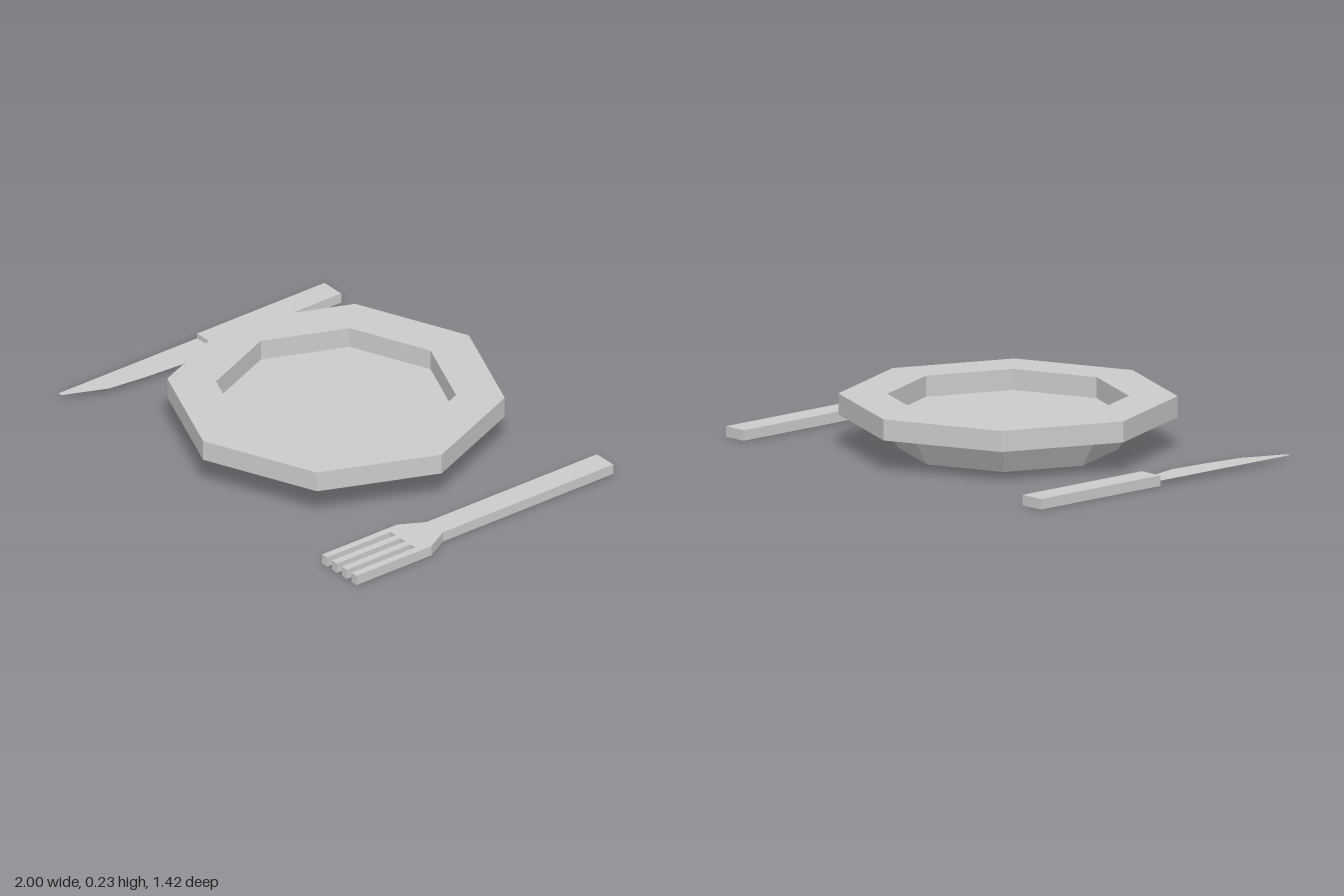
import * as THREE from 'three';

const material = new THREE.MeshStandardMaterial({
  color: 0xcccccc, flatShading: true, side: THREE.DoubleSide,
});

function addMesh(parent, name, geometry) {
  const mesh = new THREE.Mesh(geometry, material);
  mesh.name = name;
  parent.add(mesh);
  return mesh;
}

// Shape from [x, z] points, to be laid flat on the table
const outline = (points) =>
  new THREE.Shape(points.map(([x, z]) => new THREE.Vector2(x, -z)));

const slab = (points, depth) =>
  new THREE.ExtrudeGeometry(outline(points), { depth, bevelEnabled: false })
    .rotateX(-Math.PI / 2);

export function createModel() {
  const model = new THREE.Group();
  model.name = 'tableSetting';
  const thickness = 0.045;

  // Octagonal plate: sloped base, wide rim, sunken floor
  const profile = [
    [0, 0], [0.46, 0], [0.55, 0.14], [0.71, 0.14],
    [0.71, 0.23], [0.505, 0.23], [0.505, 0.14], [0, 0.14],
  ].map(([r, y]) => new THREE.Vector2(r, y));
  addMesh(model, 'plate', new THREE.LatheGeometry(profile, 8)).position.x = -0.03;

  // Knife: block handle and paper-thin blade
  const knife = new THREE.Group();
  knife.name = 'knife';
  model.add(knife);
  addMesh(knife, 'knifeHandle', slab(
    [[-1, -0.71], [-0.887, -0.71], [-0.887, -0.03], [-1, -0.03]], thickness));
  const blade = new THREE.ShapeGeometry(outline([
    [-1, -0.03], [-0.912, -0.03], [-0.867, 0.16], [-0.88, 0.35],
    [-0.9, 0.52], [-0.98, 0.71], [-1, 0.71],
  ])).rotateX(-Math.PI / 2);
  addMesh(knife, 'knifeBlade', blade).position.y = thickness / 2;

  // Fork: one outline, with four tines separated by three slots
  const left = 0.77, step = 0.23 / 7, tip = 0.71, root = 0.37;
  const fork = [[1, 0.31], [0.94, 0.2], [0.94, -0.71], [0.83, -0.71], [0.83, 0.2], [left, 0.31]];
  for (let i = 0; i < 4; i++) {
    const a = left + 2 * i * step, b = a + step;
    if (i > 0) fork.push([a, root]);
    fork.push([a, tip], [b, tip]);
    if (i < 3) fork.push([b, root]);
  }
  addMesh(model, 'fork', slab(fork, thickness));

  return model;
}
